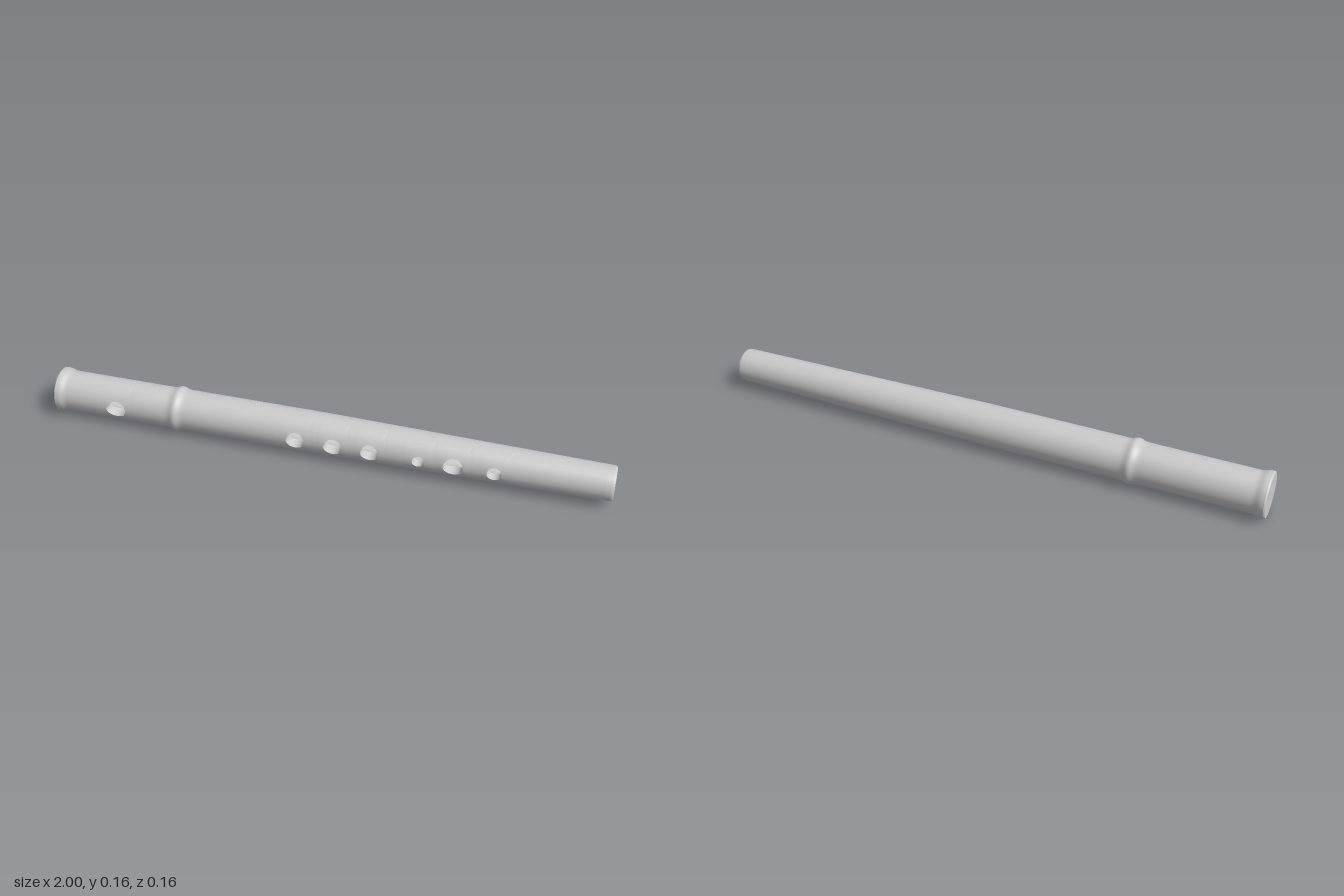
import * as THREE from 'three';
import { mergeGeometries, mergeVertices } from 'three/addons/utils/BufferGeometryUtils.js';

const BORE = 0.036, SECTOR = 1.4, SIDE = 12, SPAN = 0.055;
const BORE_END = -0.92, LIP = 0.97;

// Finger and mouth holes: centre x, radius along the tube, radius across it
const HOLES = [
  [-0.76, 0.037, 0.031], [-0.09, 0.032, 0.032], [0.045, 0.032, 0.031], [0.175, 0.031, 0.031],
  [0.345, 0.021, 0.021], [0.465, 0.034, 0.033], [0.605, 0.025, 0.025],
];

// Outer radius: tapering tube with a flared closed end and a raised band
function outerRadius(x) {
  const tube = x < 0 ? 0.073 : THREE.MathUtils.lerp(0.073, 0.061, x);
  const band = 0.008 * Math.exp(-(((x + 0.54) / 0.017) ** 2));
  const flare = 0.007 * (1 - THREE.MathUtils.smoothstep(x, -0.985, -0.955));
  return tube + band + flare;
}
const boreRadius = () => BORE;

// Grid of quads through fn(i, j) -> [x, y, z]; flip turns it inside out
function surface(nu, nv, fn, flip = false) {
  const pos = [], index = [];
  for (let i = 0; i <= nu; i++) for (let j = 0; j <= nv; j++) pos.push(...fn(i, j));
  for (let i = 0; i < nu; i++) {
    for (let j = 0; j < nv; j++) {
      const a = i * (nv + 1) + j, b = a + nv + 1;
      index.push(...(flip ? [a, b + 1, b, a, a + 1, b + 1] : [a, b, b + 1, a, b + 1, a + 1]));
    }
  }
  const g = new THREE.BufferGeometry();
  g.setAttribute('position', new THREE.Float32BufferAttribute(pos, 3));
  g.setIndex(index);
  return g;
}

const onTube = (x, t, radius) => [x, radius(x) * Math.sin(t), radius(x) * Math.cos(t)];

// Patch of tube wall between a round hole and its rectangular border
function holePatch([cx, rx, ry], radius, flip) {
  const rings = 6;
  return surface(rings, SIDE * 4, (i, j) => {
    const k = j % (SIDE * 4), side = Math.floor(k / SIDE), f = -1 + 2 * (k % SIDE) / SIDE;
    const [u, v] = [[1, f], [-f, 1], [-1, -f], [f, -1]][side];
    const phi = Math.atan2(v, u), x = cx + rx * Math.cos(phi);
    const t = Math.asin(ry * Math.sin(phi) / radius(x)), s = i / rings;
    return onTube(THREE.MathUtils.lerp(x, cx + u * SPAN, s), THREE.MathUtils.lerp(t, v * SECTOR, s), radius);
  }, flip);
}

// Complete tube wall from x0 to x1 with every hole left open
function tubeWall(x0, x1, radius, flip) {
  const parts = [], back = 36, total = SIDE + back;
  const angle = j => j <= SIDE ? -SECTOR + 2 * SECTOR * j / SIDE
    : SECTOR + (2 * Math.PI - 2 * SECTOR) * (j - SIDE) / back;
  const plain = (a, b, n, j0) => parts.push(surface(n, total - j0,
    (i, j) => onTube(a + (b - a) * i / n, angle(j + j0), radius), flip));
  let x = x0;
  for (const hole of HOLES) {
    const a = hole[0] - SPAN, b = hole[0] + SPAN;
    plain(x, a, Math.max(1, Math.ceil((a - x) / 0.006)), 0);
    plain(a, b, SIDE, SIDE);
    parts.push(holePatch(hole, radius, flip));
    x = b;
  }
  plain(x, x1, 20, 0);
  const g = mergeVertices(mergeGeometries(parts), 1e-5);
  g.computeVertexNormals();
  return g;
}

// Side wall of a hole, from the outer skin down to the bore
function holeWall([cx, rx, ry]) {
  const g = surface(40, 3, (i, j) => {
    const phi = i / 40 * Math.PI * 2, x = cx + rx * Math.cos(phi), y = ry * Math.sin(phi);
    const outer = Math.sqrt(outerRadius(x) ** 2 - y * y), inner = Math.sqrt(BORE ** 2 - y * y);
    return [x, y, THREE.MathUtils.lerp(outer, inner, j / 3)];
  });
  g.computeVertexNormals();
  return g;
}

// Profile of [radius, x] pairs turned about the long axis
function turned(profile) {
  return new THREE.LatheGeometry(profile.map(p => new THREE.Vector2(...p)), 64).rotateZ(-Math.PI / 2);
}

export function createModel() {
  const group = new THREE.Group();
  group.name = 'flute';
  const material = new THREE.MeshStandardMaterial({ color: 0xcccccc, side: THREE.DoubleSide });
  const add = (name, geometry) => {
    const mesh = new THREE.Mesh(geometry, material);
    mesh.name = name;
    mesh.position.y = 0.081;
    group.add(mesh);
  };

  add('outerTube', tubeWall(-0.995, LIP, outerRadius, false));
  add('bore', tubeWall(BORE_END, LIP, boreRadius, true));
  HOLES.forEach((hole, i) => add(i ? 'fingerHole' + i : 'mouthHole', holeWall(hole)));

  // Closed end, with a small bevel to the flared rim
  add('endCap', turned([[0, -1], [0.076, -1]]));
  add('endBevel', turned([[0.076, -1], [outerRadius(-0.995), -0.995]]));
  add('boreStop', turned([[BORE, BORE_END], [0, BORE_END]]));

  // Rounded lip of the open end
  const r = outerRadius(LIP);
  add('openLip', turned([[r, LIP], [r - 0.0005, 0.99], [r - 0.002, 0.997], [r - 0.006, 1],
    [0.047, 1], [0.042, 0.997], [0.038, 0.988], [BORE, LIP]]));
  return group;
}
